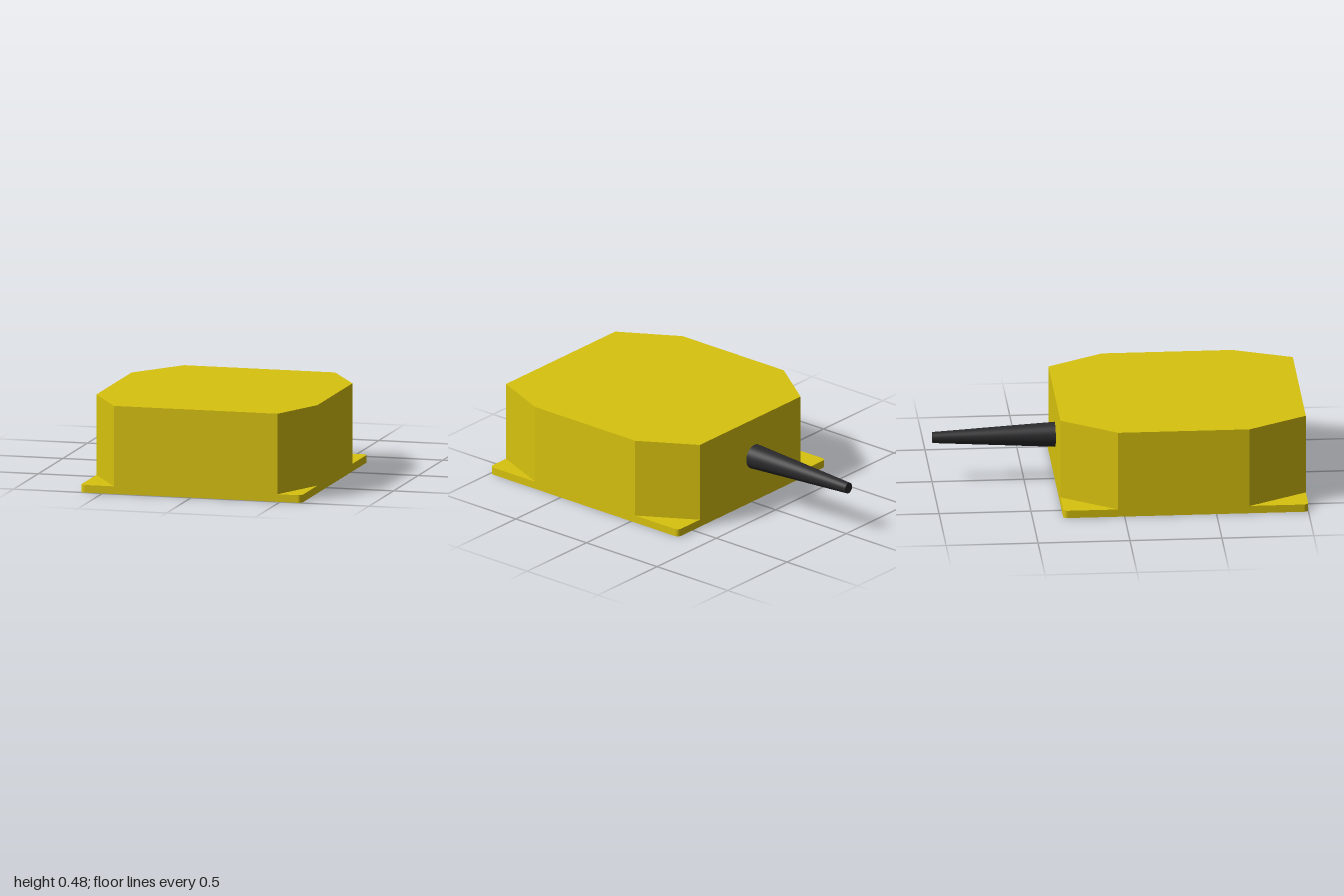
import * as THREE from 'three';

const yellow = new THREE.MeshStandardMaterial({ color: 0xd8c20e });
const black = new THREE.MeshStandardMaterial({ color: 0x2a2a2c });

// Extrude a plan outline (drawn with y = -z) upwards from y0 to y1
function slab(name, shape, y0, y1) {
  const geometry = new THREE.ExtrudeGeometry(shape, { depth: y1 - y0, bevelEnabled: false, curveSegments: 6 });
  geometry.rotateX(-Math.PI / 2).translate(0, y0, 0);
  const mesh = new THREE.Mesh(geometry, yellow);
  mesh.name = name;
  return mesh;
}

function roundedRect(x0, x1, z0, z1, r) {
  const s = new THREE.Shape();
  s.absarc(x1 - r, -z0 - r, r, 0, Math.PI / 2);
  s.absarc(x0 + r, -z0 - r, r, Math.PI / 2, Math.PI);
  s.absarc(x0 + r, -z1 + r, r, Math.PI, Math.PI * 1.5);
  s.absarc(x1 - r, -z1 + r, r, Math.PI * 1.5, Math.PI * 2);
  s.closePath();
  return s;
}

export function createModel() {
  const model = new THREE.Group();
  model.name = 'sensorHousing';

  // Thin mounting plate with rounded corners
  model.add(slab('basePlate', roundedRect(-0.623, 0.622, -0.333, 1, 0.025), 0, 0.042));

  // Housing with four unequal corner cuts
  const outline = [
    [-0.435, 1], [0.486, 1], [0.622, 0.68], [0.622, -0.028],
    [0.44, -0.333], [-0.41, -0.333], [-0.623, -0.035], [-0.623, 0.68],
  ].map(([x, z]) => new THREE.Vector2(x, -z));
  model.add(slab('housing', new THREE.Shape(outline), 0.042, 0.485));

  // Tapered cable sleeve at the back
  const length = 0.667;
  const sleeve = new THREE.CylinderGeometry(0.03, 0.068, length, 40);
  sleeve.rotateX(-Math.PI / 2);
  const cable = new THREE.Mesh(sleeve, black);
  cable.name = 'cableSleeve';
  cable.position.set(-0.02, 0.263, -1 + length / 2);
  model.add(cable);

  return model;
}
